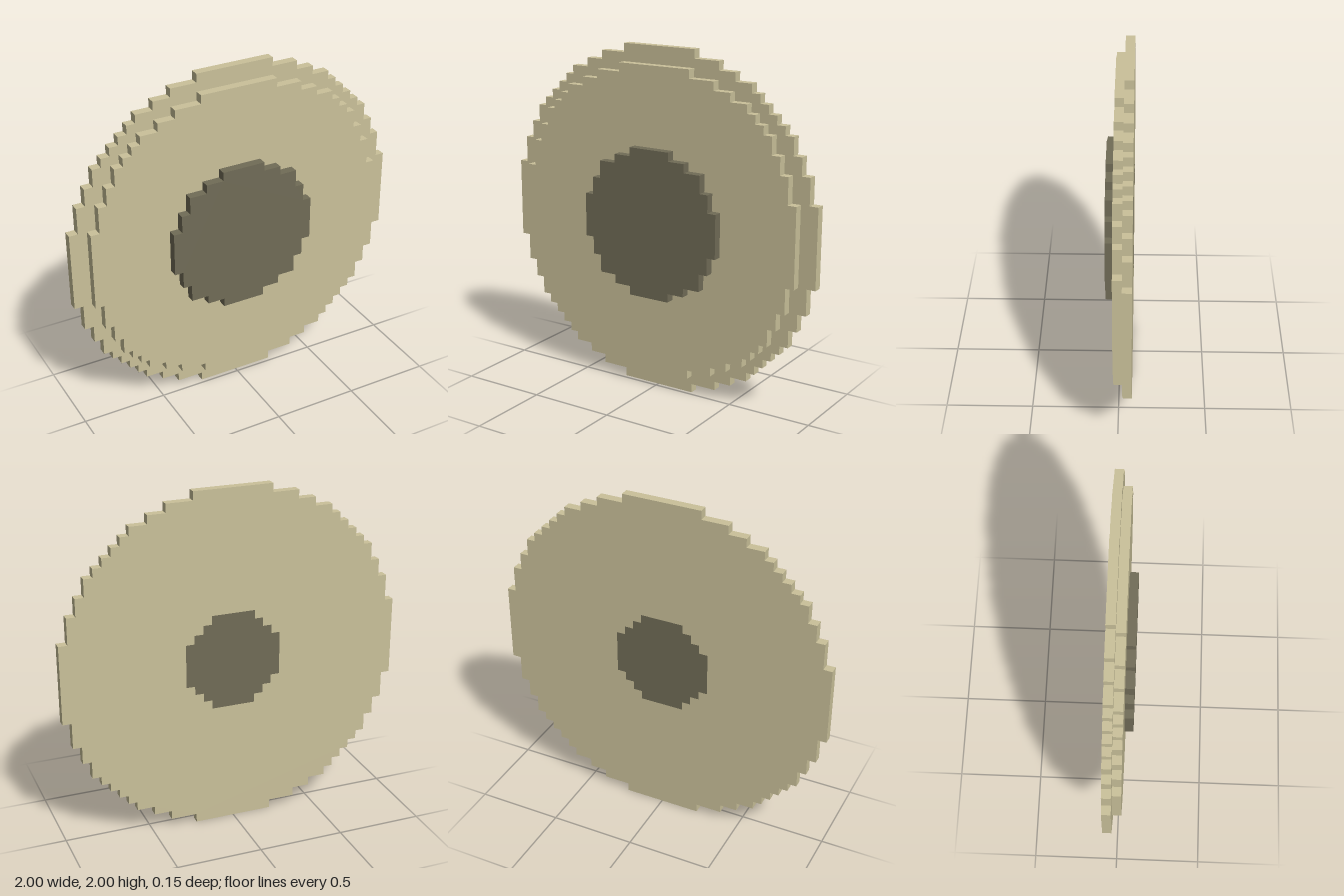
import * as THREE from 'three';

const U = 2 / 39; // one block

const tan = new THREE.MeshStandardMaterial({ color: 0xcac19a });
tan.name = 'tan';
const darkOlive = new THREE.MeshStandardMaterial({ color: 0x716c57 });
darkOlive.name = 'dark olive';

// Stepped circle from [half width, half height] pairs (in blocks), widest first
function steppedPoints(steps) {
  const quarter = [];
  steps.forEach(([x, y], i) => {
    quarter.push([x, i ? steps[i - 1][1] : 0], [x, y]);
  });
  quarter.shift(); // no point needed on the axis
  const back = [...quarter].reverse();
  const place = (list, sx, sy) => list.map(([x, y]) => new THREE.Vector2(x * sx * U, y * sy * U));
  return [
    ...place(quarter, 1, 1), ...place(back, -1, 1),
    ...place(quarter, -1, -1), ...place(back, 1, -1),
  ];
}

// One-block-thick slab at the given layer (-1 back, 0 middle, 1 front)
function slab(name, steps, layer, material, holeSteps) {
  const shape = new THREE.Shape(steppedPoints(steps));
  if (holeSteps) shape.holes.push(new THREE.Path(steppedPoints(holeSteps)));
  const geometry = new THREE.ExtrudeGeometry(shape, { depth: U, bevelEnabled: false });
  geometry.translate(0, 1, (layer - 0.5) * U);
  const mesh = new THREE.Mesh(geometry, material);
  mesh.name = name;
  return mesh;
}

export function createModel() {
  const rim = [[19.5, 4.5], [18.5, 7.5], [17.5, 9.5], [16.5, 11.5], [15.5, 12.5], [14.5, 13.5],
    [13.5, 14.5], [12.5, 15.5], [11.5, 16.5], [9.5, 17.5], [7.5, 18.5], [4.5, 19.5]];
  const face = [[17.5, 4.5], [16.5, 7.5], [15.5, 9.5], [14.5, 11.5], [13.5, 12.5],
    [12.5, 13.5], [11.5, 14.5], [9.5, 15.5], [7.5, 16.5], [4.5, 17.5]];
  const hub = [[8.5, 2.5], [7.5, 4.5], [6.5, 6.5], [4.5, 7.5], [2.5, 8.5]];
  const plug = [[5.5, 2.5], [4.5, 3.5], [3.5, 4.5], [2.5, 5.5]];

  const group = new THREE.Group();
  group.name = 'steppedDisc';
  group.add(
    slab('backDisc', rim, -1, tan, plug),
    slab('middleDisc', face, 0, tan),
    slab('frontHub', hub, 1, darkOlive),
    slab('backPlug', plug, -1, darkOlive), // flush with the back
  );
  return group;
}
